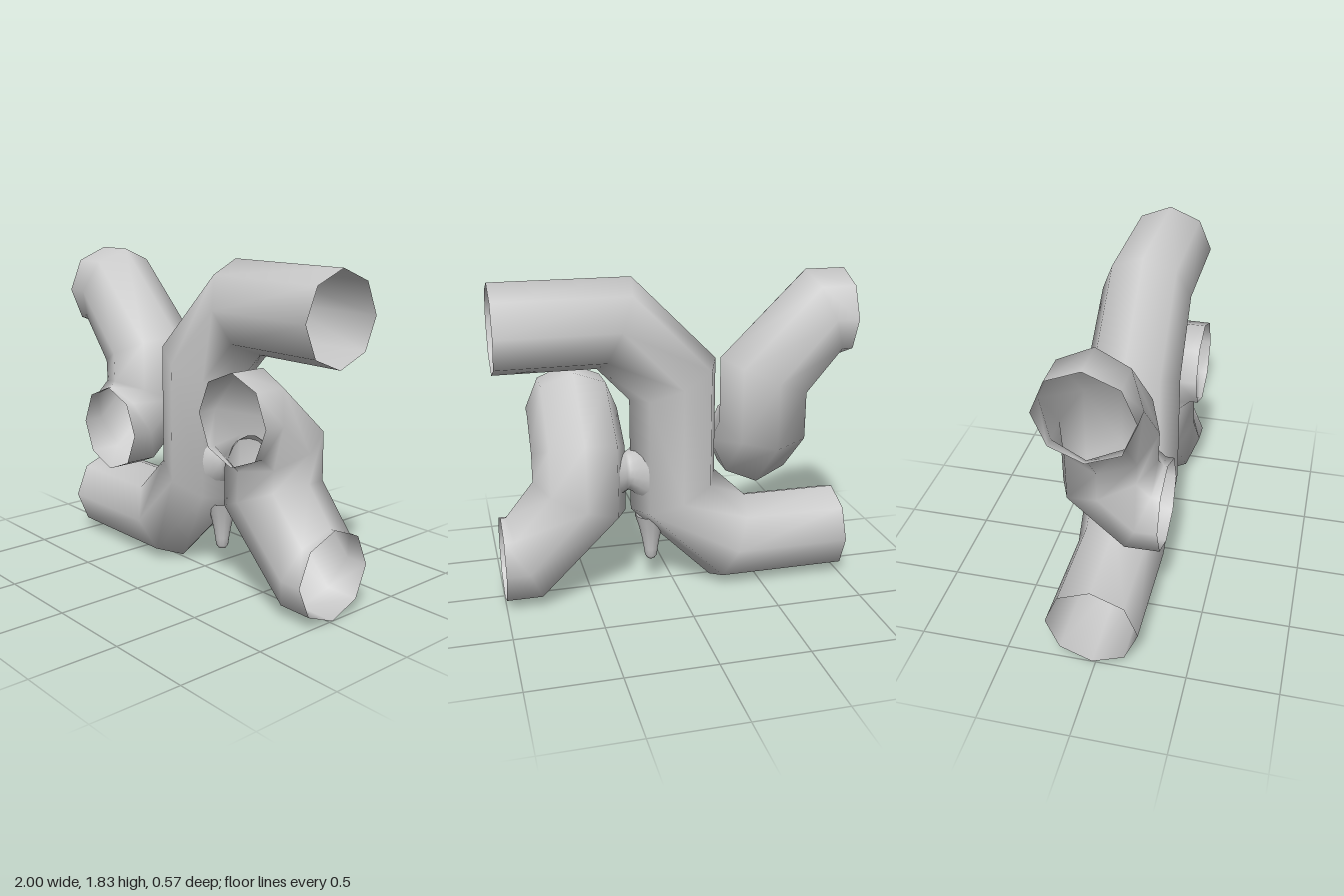
import * as THREE from 'three';

const SIDES = 8;
const Z = -0.02; // depth of the pipe axes
const material = new THREE.MeshStandardMaterial({ color: 0xcccccc, side: THREE.DoubleSide });

// Open octagonal pipe through rings of [centre, u, v], where u and v are the half axes
function pipe(name, rings) {
  const positions = [], index = [];
  for (const [c, u, v] of rings) {
    for (let i = 0; i < SIDES; i++) {
      const a = (i / SIDES) * Math.PI * 2;
      for (let k = 0; k < 3; k++) positions.push(c[k] + u[k] * Math.cos(a) + v[k] * Math.sin(a));
    }
  }
  for (let r = 0; r < rings.length - 1; r++) {
    for (let i = 0; i < SIDES; i++) {
      const j = (i + 1) % SIDES;
      const a = r * SIDES + i, b = r * SIDES + j;
      index.push(a, a + SIDES, b, b, a + SIDES, b + SIDES);
    }
  }
  const geometry = new THREE.BufferGeometry();
  geometry.setAttribute('position', new THREE.Float32BufferAttribute(positions, 3));
  geometry.setIndex(index);
  geometry.computeVertexNormals();
  const mesh = new THREE.Mesh(geometry, material);
  mesh.name = name;
  return mesh;
}

// Smooth turned shape from [radius, height] pairs
function turned(name, profile, segments) {
  const points = profile.map(([r, y]) => new THREE.Vector2(r, y));
  const mesh = new THREE.Mesh(new THREE.LatheGeometry(points, segments), material);
  mesh.name = name;
  return mesh;
}

export function createModel() {
  const model = new THREE.Group();
  model.name = 'pipes';

  // Central pipe: enters low on one side, rises, leaves high on the other
  const depth = [0, 0, -0.255], deep = [0, 0, -0.265];
  model.add(pipe('centralPipe', [
    [[1, 1.58, Z], [0, 0.25, 0], depth],
    [[0.33, 1.58, Z], [-0.1, 0.25, 0], depth],
    [[0, 1.245, Z], [-0.25, 0.105, 0], deep],
    [[0, 0.58, Z], [-0.25, 0.1, 0], deep],
    [[-0.335, 0.25, Z], [-0.105, 0.25, 0], depth],
    [[-1, 0.25, Z], [0, 0.25, 0], depth],
  ]));

  // Elbow pipe: opens to the front, turns down, then out to the side
  const elbow = [
    [[0.545, 1.04, 0.29], [0.255, 0, 0], [0, 0.25, 0]],
    [[0.545, 1.04, 0.17], [0.26, 0, 0], [0, 0.25, -0.1]],
    [[0.545, 0.865, Z], [0.265, 0, 0], [0, 0.105, -0.26]],
    [[0.545, 0.59, Z], [0.265, 0.11, 0], deep],
    [[0.87, 0.25, Z], [0.1, 0.25, 0], depth],
    [[1, 0.25, Z], [0, 0.25, 0], depth],
  ];
  model.add(pipe('leftElbowPipe', elbow));

  // Same elbow turned half round about the front axis
  const rightElbow = pipe('rightElbowPipe', elbow);
  rightElbow.rotation.z = Math.PI;
  rightElbow.position.y = 1.83;
  model.add(rightElbow);

  // Narrow-waisted web joining the central pipe to the left elbow
  const bridge = turned('bridge', [
    [0.19, -0.085], [0.15, -0.045], [0.12, -0.015], [0.11, 0.005],
    [0.12, 0.025], [0.15, 0.075],
  ], 16);
  bridge.rotation.z = -Math.PI / 2;
  bridge.position.set(0.265, 0.72, Z);
  model.add(bridge);

  // Small drip hanging under the bend
  const drip = turned('drip', [
    [0, 0.15], [0.022, 0.155], [0.036, 0.175], [0.042, 0.22],
    [0.052, 0.28], [0.07, 0.36], [0.095, 0.44],
  ], 12);
  drip.position.set(0.132, 0, Z);
  model.add(drip);

  return model;
}
